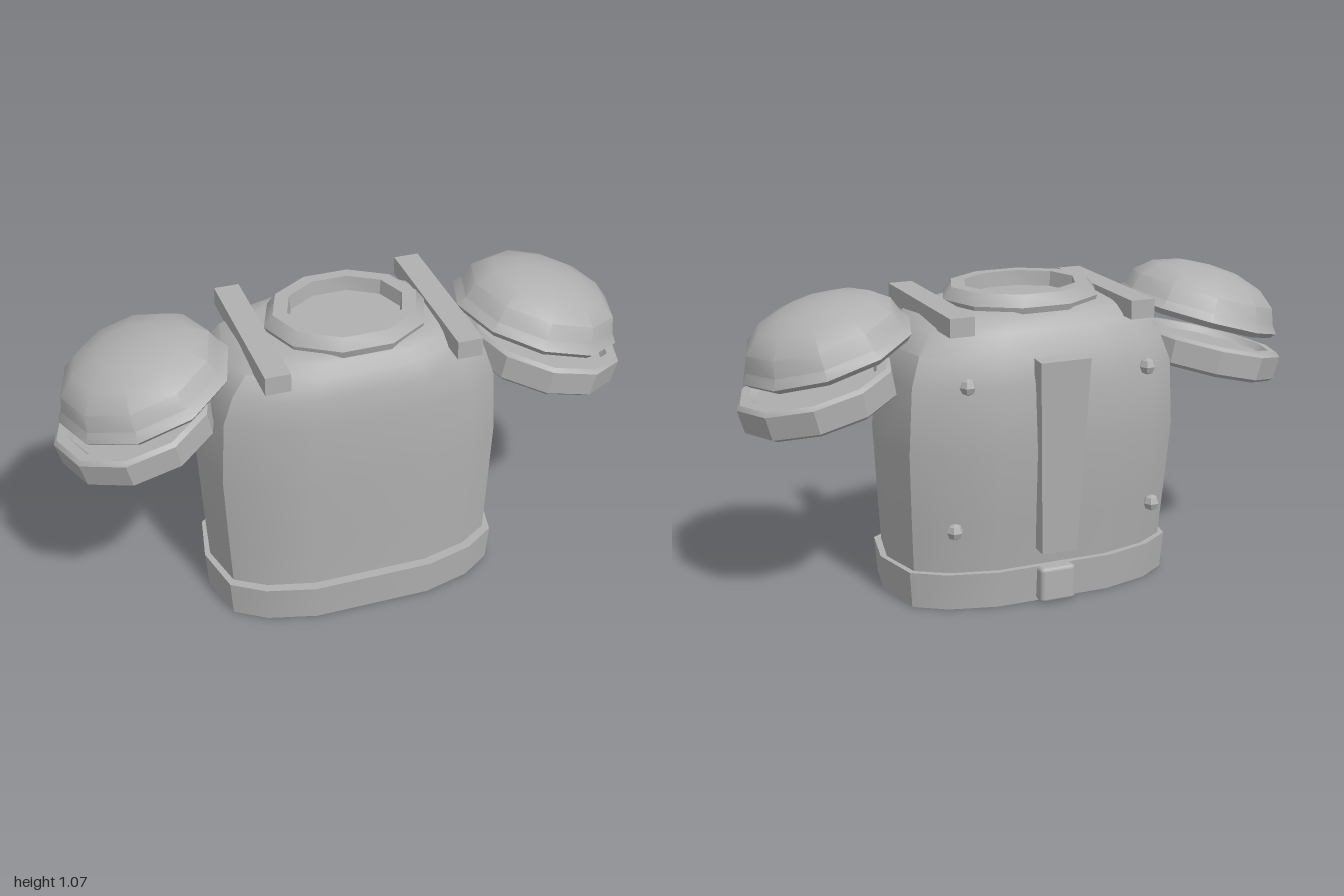
import * as THREE from 'three';
import { toCreasedNormals } from 'three/addons/utils/BufferGeometryUtils.js';
import { RoundedBoxGeometry } from 'three/addons/geometries/RoundedBoxGeometry.js';

const CREASE = 0.6;
const MID_Z = 0.04;

// Rounded-box plan section, one quadrant mirrored into 14 points.
const quadrant = [[0.925, 0.61], [0.72, 0.85], [0.4, 1]];
const flip = (pts, sx, sz) => pts.map(([x, z]) => [x * sx, z * sz]);
const section = [
  [1, 0], ...quadrant, ...flip([...quadrant].reverse(), -1, 1),
  [-1, 0], ...flip(quadrant, -1, -1), ...flip([...quadrant].reverse(), 1, -1),
];

// Skin a stack of rings given as [y, half width, front z, back z].
function loft(rings) {
  const point = ([y, hx, zf, zb], i) => {
    const [x, z] = section[i % section.length];
    return [x * hx, y, (zf + zb) / 2 + z * (zf - zb) / 2];
  };
  const pos = [];
  for (let j = 0; j < rings.length - 1; j++) {
    for (let i = 0; i < section.length; i++) {
      const a = point(rings[j], i), b = point(rings[j], i + 1);
      const c = point(rings[j + 1], i + 1), d = point(rings[j + 1], i);
      if (rings[j][1] > 0) pos.push(...a, ...d, ...b);
      if (rings[j + 1][1] > 0) pos.push(...b, ...d, ...c);
    }
  }
  const g = new THREE.BufferGeometry();
  g.setAttribute('position', new THREE.Float32BufferAttribute(pos, 3));
  return toCreasedNormals(g, CREASE);
}

// Ten-sided turned part with a corner on the x axis.
function turned(profile, zScale = 1) {
  const pts = profile.map(([r, y]) => new THREE.Vector2(r, y));
  const g = new THREE.LatheGeometry(pts, 10, Math.PI / 2);
  g.scale(1, 1, zScale);
  return toCreasedNormals(g, CREASE);
}

export function createModel() {
  const group = new THREE.Group();
  const grey = new THREE.MeshStandardMaterial({ color: 0xb0b0b0 });
  grey.name = 'plain grey';

  function add(name, geometry, x = 0, y = 0, z = 0) {
    const mesh = new THREE.Mesh(geometry, grey);
    mesh.name = name;
    mesh.position.set(x, y, z);
    group.add(mesh);
    return mesh;
  }

  // Body shell and waist belt
  add('torso', loft([
    [0.1, 0.5, 0.315, -0.235],
    [0.3, 0.512, 0.32, -0.26],
    [0.55, 0.525, 0.33, -0.293],
    [0.78, 0.512, 0.33, -0.295],
    [0.88, 0.475, 0.322, -0.27],
    [0.95, 0.42, 0.3, -0.235],
    [0.985, 0.35, 0.27, -0.2],
    [1.0, 0.28, 0.24, -0.17],
    [1.0, 0, MID_Z, MID_Z],
  ]));
  add('belt', loft([
    [0, 0, MID_Z, MID_Z],
    [0, 0.512, 0.342, -0.25],
    [0.128, 0.522, 0.35, -0.26],
    [0.128, 0.48, 0.3, -0.22],
  ]));
  add('beltBuckle', new RoundedBoxGeometry(0.13, 0.125, 0.06, 1, 0.014), 0, 0.066, -0.267);

  // Neck collar
  add('collar', turned([
    [0.27, 0.985], [0.28, 1.015], [0.25, 1.055],
    [0.2, 1.055], [0.195, 1.003], [0, 1.003],
  ], 0.86), 0, 0, MID_Z);

  // Back plate, narrower at the bottom and leaning backwards
  const plate = new THREE.BoxGeometry(0.18, 0.68, 0.058);
  const p = plate.attributes.position;
  for (let i = 0; i < p.count; i++) if (p.getY(i) < 0) p.setX(i, p.getX(i) * 0.72);
  add('backPlate', plate, 0, 0.528, -0.295).rotation.x = -0.063;

  const dome = turned([
    [0, -0.02], [0.28, -0.02], [0.3, 0], [0.278, 0.03], [0.26, 0.085],
    [0.2, 0.135], [0.11, 0.165], [0, 0.175],
  ]);
  const pad = turned([
    [0, -0.055], [0.25, -0.055], [0.268, -0.042], [0.272, 0.04],
    [0.258, 0.053], [0.225, 0.053], [0.21, 0.03], [0, 0.03],
  ]);
  const boltShape = new THREE.SphereGeometry(0.029, 6, 4).toNonIndexed();
  boltShape.computeVertexNormals();

  // Straps, shoulder guards and back bolts on both sides
  for (const s of [1, -1]) {
    const side = s > 0 ? 'left' : 'right';
    add(side + 'Strap', new THREE.BoxGeometry(0.086, 0.064, 0.59), s * 0.325, 0.987, 0.045);
    add(side + 'ShoulderDome', dome, s * 0.69, 0.883, MID_Z).rotation.z = -s * 0.29;
    add(side + 'ShoulderPad', pad, s * 0.728, 0.738, MID_Z).rotation.z = -s * 0.245;
    add(side + 'UpperBolt', boltShape, s * 0.325, 0.8, -0.292);
    add(side + 'LowerBolt', boltShape, s * 0.365, 0.3, -0.27 + 0.005);
  }
  return group;
}
